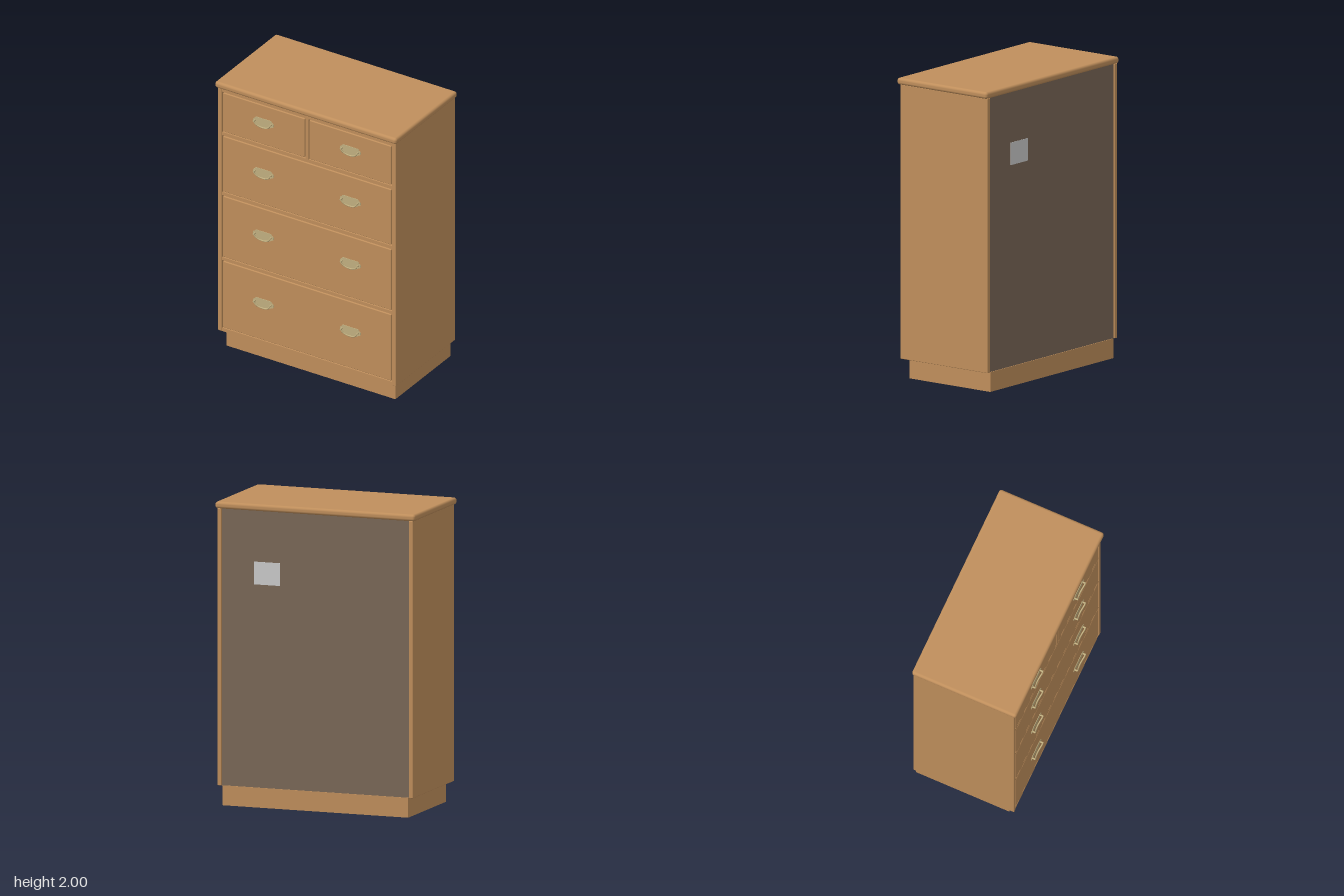
import * as THREE from 'three';
import { RoundedBoxGeometry } from 'three/addons/geometries/RoundedBoxGeometry.js';

const mat = (color, side = THREE.FrontSide) => new THREE.MeshStandardMaterial({ color, side });
const wood = mat(0xc08f5c);
const backing = mat(0x7a6857);
const shadowWood = mat(0x5a4636);
const brass = mat(0xc2b080);
const label = mat(0xcccccc);

function add(parent, name, geometry, material, x = 0, y = 0, z = 0) {
  const mesh = new THREE.Mesh(geometry, material);
  mesh.name = name;
  mesh.position.set(x, y, z);
  parent.add(mesh);
  return mesh;
}

// Box given by its limits, with optional rounded edges
function block(parent, name, material, [x0, x1], [y0, y1], [z0, z1], radius = 0) {
  const size = [x1 - x0, y1 - y0, z1 - z0];
  const geometry = radius
    ? new RoundedBoxGeometry(...size, 3, radius)
    : new THREE.BoxGeometry(...size);
  return add(parent, name, geometry, material, (x0 + x1) / 2, (y0 + y1) / 2, (z0 + z1) / 2);
}

function rectPath(Type, x0, x1, y0, y1) {
  const path = new Type();
  path.moveTo(x0, y0);
  path.lineTo(x1, y0);
  path.lineTo(x1, y1);
  path.lineTo(x0, y1);
  path.closePath();
  return path;
}

// Swan-neck pull: shaped plate, two posts and a hanging bail
function makeHandle() {
  const handle = new THREE.Group();
  handle.name = 'handle';

  const plate = new THREE.Shape();
  plate.moveTo(-0.055, 0.034);
  plate.lineTo(0.055, 0.034);
  plate.quadraticCurveTo(0.066, 0.03, 0.066, 0.022);
  plate.quadraticCurveTo(0.08, 0.02, 0.08, 0.004);
  plate.quadraticCurveTo(0.079, -0.012, 0.062, -0.014);
  plate.quadraticCurveTo(0.04, -0.034, 0, -0.034);
  plate.quadraticCurveTo(-0.04, -0.034, -0.062, -0.014);
  plate.quadraticCurveTo(-0.079, -0.012, -0.08, 0.004);
  plate.quadraticCurveTo(-0.08, 0.02, -0.066, 0.022);
  plate.quadraticCurveTo(-0.066, 0.03, -0.055, 0.034);
  add(handle, 'handlePlate',
    new THREE.ExtrudeGeometry(plate, { depth: 0.003, bevelEnabled: false, curveSegments: 6 }), brass);

  for (const s of [-1, 1]) {
    const post = add(handle, 'handlePost', new THREE.CylinderGeometry(0.006, 0.006, 0.024, 12),
      brass, s * 0.062, 0.008, 0.013);
    post.rotation.x = Math.PI / 2;
  }
  const bail = new THREE.CatmullRomCurve3([
    [-0.062, 0.008, 0.021], [-0.054, -0.006, 0.02], [-0.032, -0.022, 0.015], [0, -0.028, 0.012],
    [0.032, -0.022, 0.015], [0.054, -0.006, 0.02], [0.062, 0.008, 0.021],
  ].map((p) => new THREE.Vector3(...p)));
  add(handle, 'handleBail', new THREE.TubeGeometry(bail, 28, 0.005, 8), brass);
  return handle;
}

export function createModel() {
  const model = new THREE.Group();
  model.name = 'chestOfDrawers';

  // Carcass
  block(model, 'top', wood, [-0.7, 0.7], [1.955, 2], [-0.375, 0.37], 0.018);
  block(model, 'rightSide', wood, [-0.685, -0.656], [0.13, 1.957], [-0.37, 0.35], 0.004);
  block(model, 'leftSide', wood, [0.656, 0.685], [0.13, 1.957], [-0.37, 0.35], 0.004);
  block(model, 'backPanel', backing, [-0.657, 0.657], [0.13, 1.957], [-0.36, -0.35]);
  block(model, 'bottomPanel', shadowWood, [-0.657, 0.657], [0.131, 0.145], [-0.35, 0.325]);
  block(model, 'innerPanel', shadowWood, [-0.657, 0.657], [0.145, 1.955], [0.318, 0.325]);
  block(model, 'backLabel', label, [0.25, 0.43], [1.47, 1.62], [-0.362, -0.36]);

  // Drawers: x limits, y limits, handle height and handle positions
  const drawers = [
    [-0.654, -0.012, 1.625, 1.927, 1.79, [-0.335]],
    [0.012, 0.654, 1.625, 1.927, 1.79, [0.335]],
    [-0.654, 0.654, 1.175, 1.601, 1.41, [-0.335, 0.335]],
    [-0.654, 0.654, 0.685, 1.151, 0.942, [-0.335, 0.335]],
    [-0.654, 0.654, 0.155, 0.663, 0.435, [-0.335, 0.335]],
  ];

  // Face frame with one opening per drawer
  const frame = rectPath(THREE.Shape, -0.657, 0.657, 0.13, 1.957);
  for (const [x0, x1, y0, y1] of drawers) frame.holes.push(rectPath(THREE.Path, x0, x1, y0, y1));
  add(model, 'faceFrame',
    new THREE.ExtrudeGeometry(frame, { depth: 0.022, bevelEnabled: false }), wood, 0, 0, 0.325);

  const gap = 0.006;
  for (const [x0, x1, y0, y1, handleY, handleXs] of drawers) {
    const drawer = new THREE.Group();
    drawer.name = 'drawer';
    block(drawer, 'drawerFront', wood, [x0 + gap, x1 - gap], [y0 + gap, y1 - gap], [0.326, 0.348], 0.005);
    for (const x of handleXs) {
      const handle = makeHandle();
      handle.position.set(x, handleY, 0.348);
      drawer.add(handle);
    }
    model.add(drawer);
  }

  // Hollow plinth, a rectangle with an opening, laid flat
  const plinth = rectPath(THREE.Shape, -0.65, 0.65, -0.3, 0.365);
  plinth.holes.push(rectPath(THREE.Path, -0.622, 0.622, -0.272, 0.337));
  add(model, 'plinth', new THREE.ExtrudeGeometry(plinth, { depth: 0.131, bevelEnabled: false }), wood)
    .rotation.x = -Math.PI / 2;

  // Glue blocks in the plinth corners
  for (const x of [-0.588, 0.588]) {
    for (const z of [-0.303, 0.238]) {
      add(model, 'cornerBlock', new THREE.BoxGeometry(0.068, 0.11, 0.068), backing, x, 0.076, z);
    }
  }
  return model;
}
